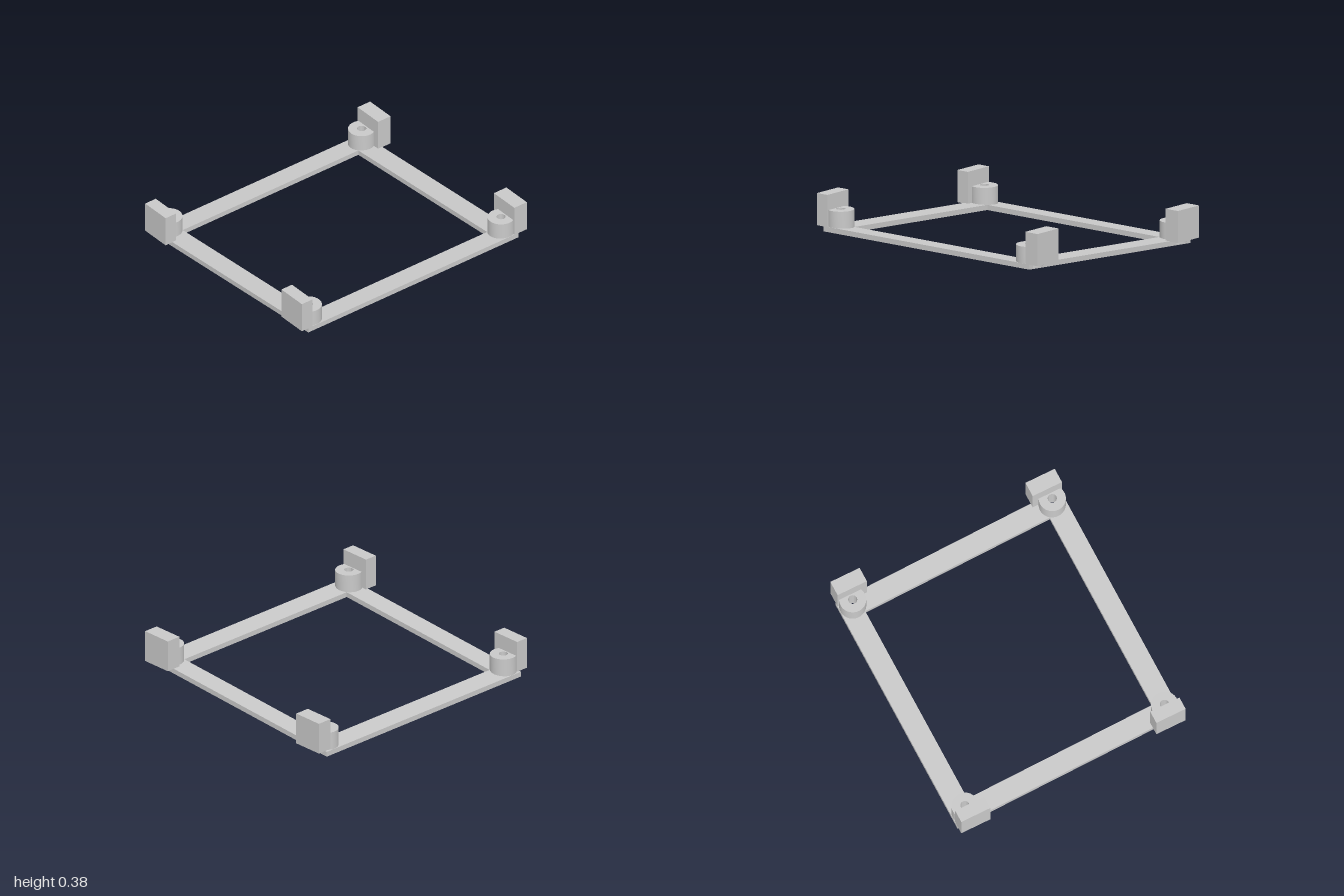
import * as THREE from 'three';
import { toCreasedNormals } from 'three/addons/utils/BufferGeometryUtils.js';

const HOLE_R = 0.032;
const BOSS_R = 0.095;
const BOSS_X = 0.781;
const HALF_W = 0.878;

// Path helpers: plan coordinates are (x, z), stored in the shape as (x, -z), anticlockwise
function rect(path, x0, x1, z0, z1) {
  path.moveTo(x0, -z1);
  path.lineTo(x1, -z1);
  path.lineTo(x1, -z0);
  path.lineTo(x0, -z0);
  path.closePath();
  return path;
}

function circle(path, x, z, r) {
  path.absarc(x, -z, r, 0, Math.PI * 2, false);
  return path;
}

// Extrude a plan shape upwards from y = 0
function extrudeUp(shape, height) {
  const geo = new THREE.ExtrudeGeometry(shape, { depth: height, bevelEnabled: false, curveSegments: 24 });
  geo.rotateX(-Math.PI / 2);
  return geo;
}

export function createModel() {
  const model = new THREE.Group();
  const grey = new THREE.MeshStandardMaterial({ color: 0xc9c9c9 });
  grey.name = 'plain grey';

  const add = (name, geo) => {
    const mesh = new THREE.Mesh(geo, grey);
    mesh.name = name;
    model.add(mesh);
    return mesh;
  };

  const corners = [];
  for (const left of [true, false]) {
    for (const front of [true, false]) {
      corners.push({
        name: (front ? 'front' : 'back') + (left ? 'Left' : 'Right'),
        side: left ? 1 : -1,
        z: front ? 0.866 : -0.848,
        base: left ? 0.153 : 0.049,
        blockZ: front ? [0.906, 1] : [-1, -0.889],
      });
    }
  }

  // Thin rectangular frame with screw holes, rising towards +x
  const plan = rect(new THREE.Shape(), -HALF_W, HALF_W, -0.925, 0.942);
  plan.holes.push(rect(new THREE.Path(), -0.722, 0.722, -0.771, 0.79));
  for (const c of corners) plan.holes.push(circle(new THREE.Path(), c.side * BOSS_X, c.z, HOLE_R));
  const frame = extrudeUp(plan, 0.037);
  const pos = frame.attributes.position;
  for (let i = 0; i < pos.count; i++) {
    pos.setY(i, pos.getY(i) + (pos.getX(i) + HALF_W) * 0.067);
  }
  add('slopedFrame', toCreasedNormals(frame, 0.6));

  for (const c of corners) {
    // Bored boss sunk into the frame
    const ring = circle(new THREE.Shape(), 0, 0, BOSS_R);
    ring.holes.push(circle(new THREE.Path(), 0, 0, HOLE_R));
    const boss = add(c.name + 'Boss', toCreasedNormals(extrudeUp(ring, 0.15), 0.6));
    boss.position.set(c.side * BOSS_X, c.base - 0.03, c.z);

    // Upright stop block outside the boss
    const [z0, z1] = c.blockZ;
    const block = add(c.name + 'Block', new THREE.BoxGeometry(0.229, 0.23, z1 - z0));
    block.position.set(c.side * 0.7635, c.base + 0.115, (z0 + z1) / 2);
  }

  return model;
}
